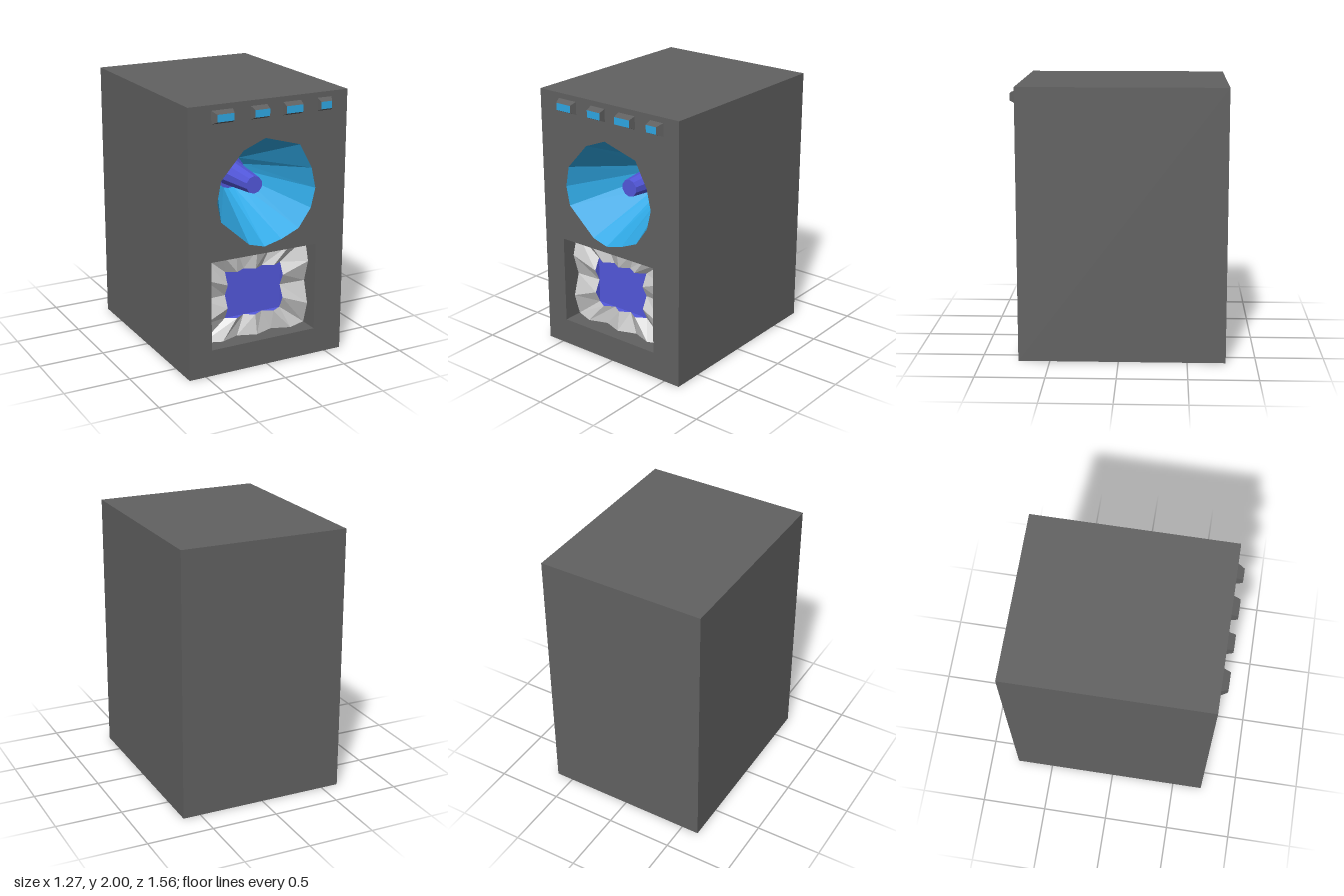
import * as THREE from 'three';

const FRONT = 0.73, BACK = -0.78, HALF_W = 0.633, HEIGHT = 2;

const mat = (color) => new THREE.MeshStandardMaterial({ color, flatShading: true, side: THREE.DoubleSide });

function part(name, geometry, material) {
  const mesh = new THREE.Mesh(geometry, material);
  mesh.name = name;
  return mesh;
}

// Joins closed rings of points, anticlockwise seen from the front, with quads
function loft(rings, cap = false) {
  const pos = [];
  const tri = (...pts) => pts.forEach((p) => pos.push(p.x, p.y, p.z));
  for (let r = 0; r + 1 < rings.length; r++) {
    const a = rings[r], b = rings[r + 1], n = a.length;
    for (let i = 0; i < n; i++) {
      const j = (i + 1) % n;
      tri(a[i], a[j], b[j]);
      tri(a[i], b[j], b[i]);
    }
  }
  if (cap) {
    const last = rings[rings.length - 1];
    for (let i = 1; i + 1 < last.length; i++) tri(last[0], last[i], last[i + 1]);
  }
  const g = new THREE.BufferGeometry();
  g.setAttribute('position', new THREE.Float32BufferAttribute(pos, 3));
  g.computeVertexNormals();
  return g;
}

// Points round a rectangle, nx per horizontal side and ny per vertical side
function rectRing([x0, x1, y0, y1], nx, ny, z) {
  const corners = [[x0, y0], [x1, y0], [x1, y1], [x0, y1]];
  const ring = [];
  corners.forEach(([ax, ay], s) => {
    const [bx, by] = corners[(s + 1) % 4], n = s % 2 ? ny : nx;
    for (let i = 0; i < n; i++) {
      const t = i / n;
      ring.push(new THREE.Vector3(ax + (bx - ax) * t, ay + (by - ay) * t, z(ring.length)));
    }
  });
  return ring;
}

export function createModel() {
  const model = new THREE.Group();
  const dark = mat(0x616161), blue = mat(0x2fa8e4), violet = mat(0x5358dc), grey = mat(0xcccccc);

  // Irregular rim of the upper horn, anticlockwise
  const rim = [
    [-0.03, 1.72], [-0.205, 1.65], [-0.38, 1.455], [-0.41, 1.3], [-0.38, 1.155], [-0.155, 0.955], [-0.03, 0.92],
    [0.11, 0.955], [0.25, 1.015], [0.35, 1.155], [0.385, 1.3], [0.35, 1.455], [0.25, 1.64],
  ].map(([x, y]) => new THREE.Vector3(x, y, FRONT));
  const opening = [-0.455, 0.4, 0.2, 0.87];
  const plate = [-0.26, 0.2, 0.35, 0.71];

  // Cabinet: box without its front, plus a front panel with two holes
  const depth = FRONT - BACK;
  const shell = new THREE.BoxGeometry(HALF_W * 2, HEIGHT, depth).translate(0, HEIGHT / 2, (FRONT + BACK) / 2);
  const idx = Array.from(shell.index.array);
  idx.splice(24, 6);
  shell.setIndex(idx);
  shell.clearGroups();
  const panel = new THREE.Shape(
    [[-HALF_W, 0], [HALF_W, 0], [HALF_W, HEIGHT], [-HALF_W, HEIGHT]].map(([x, y]) => new THREE.Vector2(x, y)));
  const openRing = rectRing(opening, 1, 1, () => FRONT);
  panel.holes = [rim, openRing].map((r) => new THREE.Path(r.map((p) => new THREE.Vector2(p.x, p.y))));
  const cabinet = new THREE.Group();
  cabinet.name = 'cabinet';
  cabinet.add(part('cabinetShell', shell, dark));
  cabinet.add(part('frontPanel', new THREE.ShapeGeometry(panel).translate(0, 0, FRONT), dark));
  model.add(cabinet);

  // Upper horn narrowing to a disc with a tapered plug
  const throatZ = 0.13, plugZ = 0.51;
  const centre = new THREE.Vector3(0.005, 1.315, FRONT);
  const throat = rim.map((p) => {
    const q = p.clone().sub(centre).setLength(0.125).add(centre);
    q.z = throatZ;
    return q;
  });
  const horn = new THREE.Group();
  horn.name = 'upperHorn';
  horn.add(part('hornCone', loft([rim, throat]), blue));
  horn.add(part('throatDisc', loft([throat], true), violet));
  const plug = new THREE.CylinderGeometry(0.066, 0.1, plugZ - throatZ, 10).rotateX(Math.PI / 2);
  plug.translate(centre.x, centre.y, (plugZ + throatZ) / 2);
  horn.add(part('hornPlug', plug, violet));
  model.add(horn);

  // Lower woofer: straight recess, pleated surround and flat plate
  const pleat = (low, high) => (i) => FRONT - (i % 2 ? high : low);
  const outer = rectRing(opening, 6, 4, pleat(0.15, 0.1));
  const inner = rectRing(plate, 6, 4, pleat(0.17, 0.125));
  const floor = rectRing(plate, 6, 4, () => FRONT - 0.17);
  const woofer = new THREE.Group();
  woofer.name = 'lowerWoofer';
  woofer.add(part('recessWall', loft([rectRing(opening, 6, 4, () => FRONT), outer]), dark));
  woofer.add(part('pleatedSurround', loft([outer, inner]), grey));
  woofer.add(part('wooferPlate', loft([inner, floor], true), violet));
  model.add(woofer);

  // Buttons along the top: base left, base right, face left, face right
  const buttons = new THREE.Group();
  buttons.name = 'buttons';
  [
    [-0.455, -0.29, -0.433, -0.303],
    [-0.15, -0.022, -0.143, -0.026],
    [0.105, 0.25, 0.108, 0.24],
    [0.385, 0.5, 0.388, 0.475],
  ].forEach(([b0, b1, f0, f1]) => {
    const base = rectRing([b0, b1, 1.865, 1.96], 1, 1, () => FRONT);
    const face = rectRing([f0, f1, 1.887, 1.94], 1, 1, () => 0.78);
    buttons.add(part('buttonSides', loft([base, face]), dark));
    buttons.add(part('buttonFace', loft([face], true), blue));
  });
  model.add(buttons);

  return model;
}
